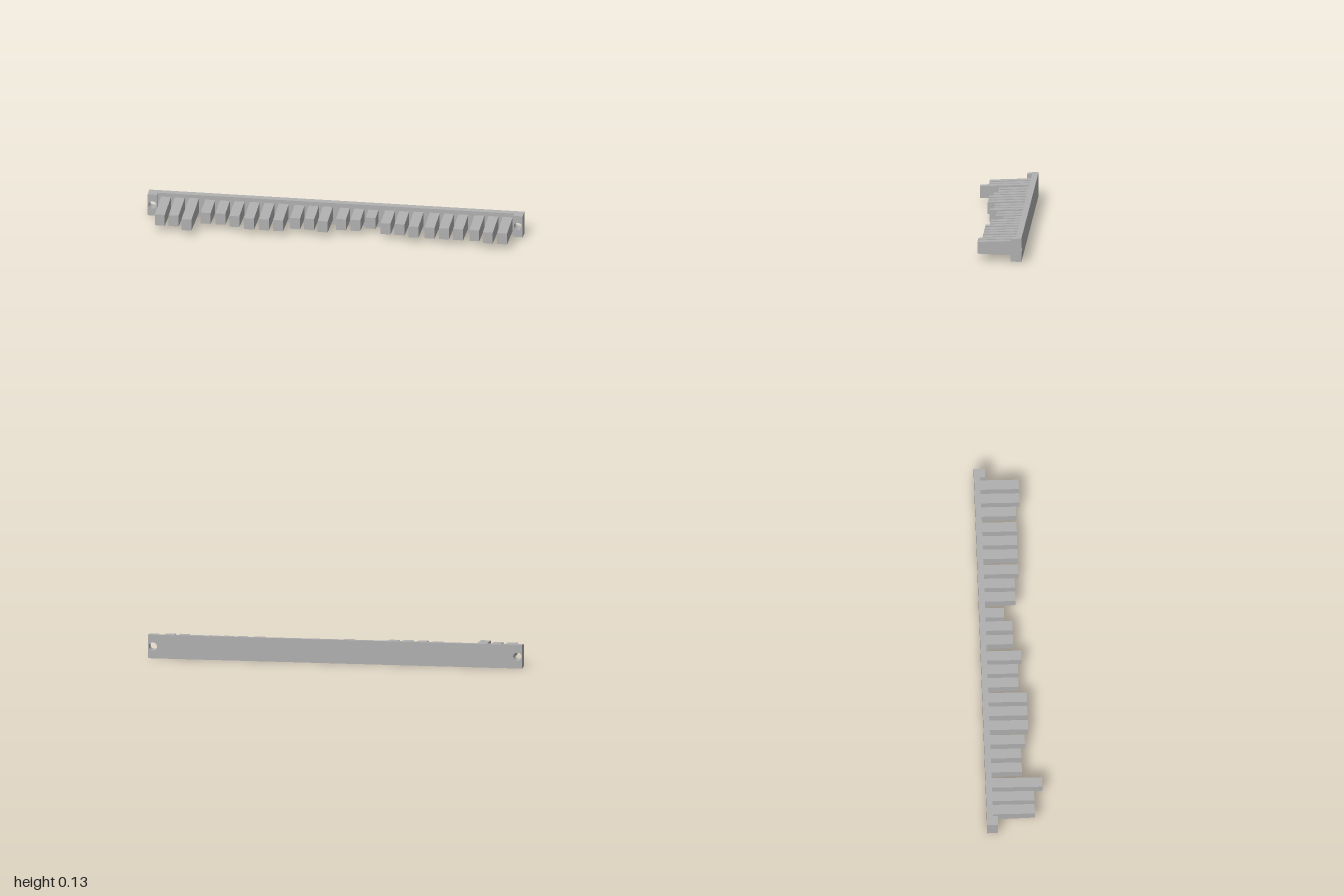
import * as THREE from 'three';

const BACK = -0.148, BAR_FRONT = -0.116, BLOCK_FRONT = -0.09;
const MID = 0.063, HALF = 0.063, HOLE_X = 0.974, HOLE_R = 0.022;

// Plate in the xy plane with round holes, extruded from z0 to z1 and drafted in height
function plate(x0, x1, z0, z1, holes) {
  const shape = new THREE.Shape([
    new THREE.Vector2(x0, -HALF), new THREE.Vector2(x1, -HALF),
    new THREE.Vector2(x1, HALF), new THREE.Vector2(x0, HALF),
  ]);
  for (const x of holes) shape.holes.push(new THREE.Path().absarc(x, 0, HOLE_R, 0, Math.PI * 2, true));
  const g = new THREE.ExtrudeGeometry(shape, { depth: z1 - z0, bevelEnabled: false, curveSegments: 16 });
  g.translate(0, 0, z0);
  const p = g.attributes.position;
  for (let i = 0; i < p.count; i++) {
    p.setY(i, MID + p.getY(i) * (1 - 0.9 * (p.getZ(i) - BACK)));
  }
  g.computeVertexNormals();
  return g;
}

// Tooth with a constant tip height that thickens toward the bar
function toothGeometry(tip) {
  const z0 = -0.12, length = tip - z0;
  const g = new THREE.BoxGeometry(0.053, 1, length);
  g.translate(0, 0, z0 + length / 2);
  const p = g.attributes.position;
  for (let i = 0; i < p.count; i++) {
    const half = 0.031 + 0.039 * (tip - p.getZ(i));
    p.setY(i, 0.064 + Math.sign(p.getY(i)) * half);
  }
  g.computeVertexNormals();
  return g;
}

export function createModel() {
  const group = new THREE.Group();
  const grey = new THREE.MeshStandardMaterial({ color: 0xb0b0b0 });
  grey.name = 'grey';
  const add = (name, geometry) => {
    const mesh = new THREE.Mesh(geometry, grey);
    mesh.name = name;
    group.add(mesh);
  };

  // Back bar and the mounting blocks at its ends
  add('backBar', plate(-1, 1, BACK, BAR_FRONT, [-HOLE_X, HOLE_X]));
  add('rightEndBlock', plate(-1, -0.95, BAR_FRONT, BLOCK_FRONT, [-HOLE_X]));
  add('leftEndBlock', plate(0.95, 1, BAR_FRONT, BLOCK_FRONT, [HOLE_X]));

  // Teeth: centre x and tip z
  const teeth = [
    [-0.906, 0.106], [-0.832, 0.106], [-0.757, 0.15],
    [-0.67, 0.046], [-0.592, 0.046], [-0.514, 0.067],
    [-0.433, 0.087], [-0.354, 0.087], [-0.278, 0.087],
    [-0.193, 0.046], [-0.118, 0.046], [-0.043, 0.067],
    [0.048, 0.025], [0.125, 0.025], [0.2, -0.017],
    [0.289, 0.046], [0.364, 0.046], [0.441, 0.067],
    [0.527, 0.067], [0.603, 0.067], [0.679, 0.067],
    [0.765, 0.067], [0.84, 0.087], [0.916, 0.087],
  ];
  teeth.forEach(([x, tip], i) => add(`tooth${i + 1}`, toothGeometry(tip).translate(x, 0, 0)));

  return group;
}
